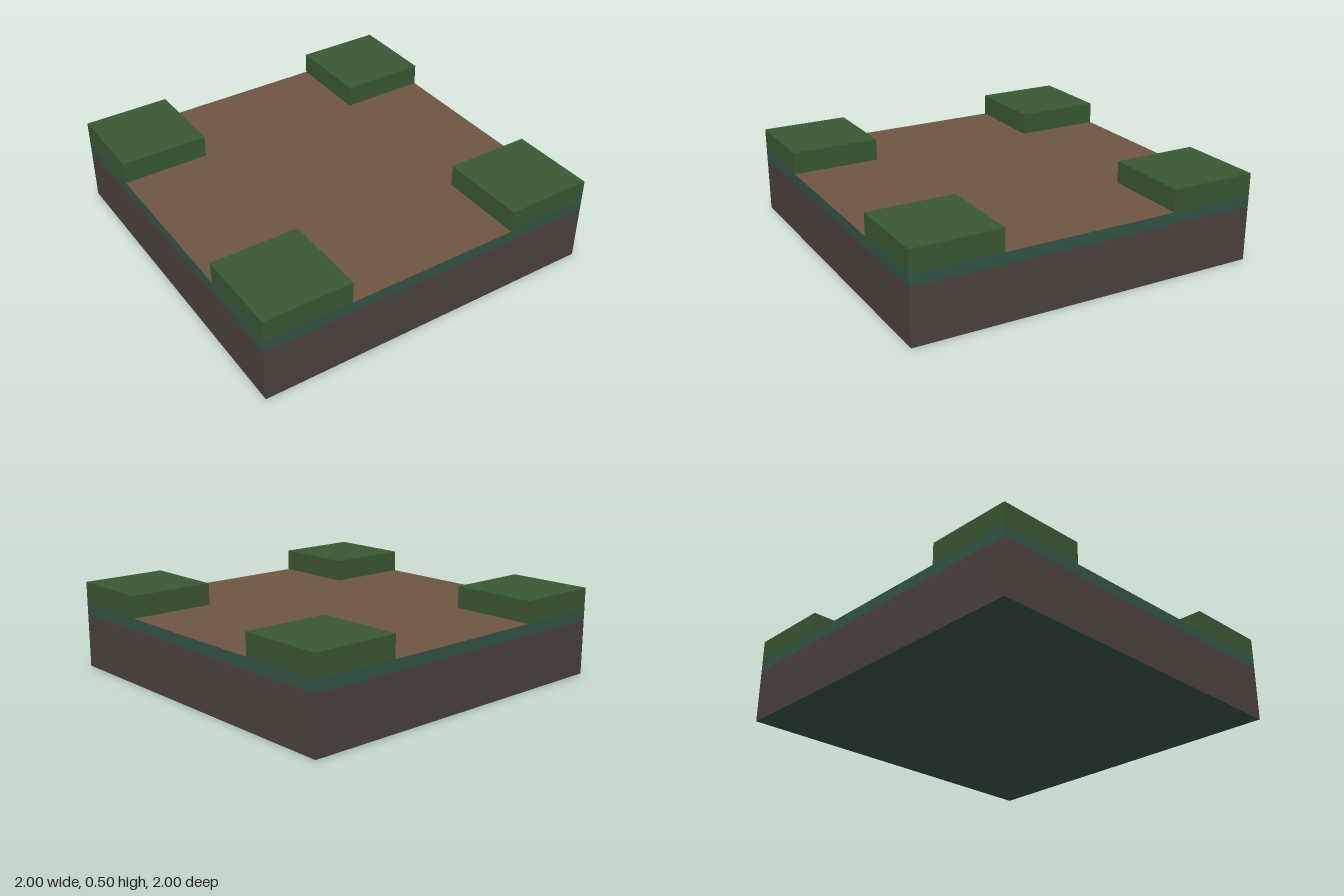
import * as THREE from 'three';

const mat = (name, color) => {
  const m = new THREE.MeshStandardMaterial({ color });
  m.name = name;
  return m;
};

export function createModel() {
  const soil = mat('dark soil', 0x4b413b);
  const turf = mat('teal turf', 0x335446);
  const dirt = mat('brown dirt', 0x6e5541);
  const grass = mat('green grass', 0x3a5733);

  const group = new THREE.Group();
  group.name = 'crossroadsTile';

  // Box spanning y0..y1; materials may be one or six (+x, -x, top, bottom, +z, -z)
  const slab = (name, size, y0, y1, material, x = 0, z = 0) => {
    const mesh = new THREE.Mesh(new THREE.BoxGeometry(size, y1 - y0, size), material);
    mesh.position.set(x, (y0 + y1) / 2, z);
    mesh.name = name;
    group.add(mesh);
  };

  // Soil base with a teal underside
  slab('soilBase', 2, 0, 0.3125, [soil, soil, soil, turf, soil, soil]);

  // Turf band whose top is the dirt crossroads
  slab('pathLayer', 2, 0.3125, 0.375, [turf, turf, dirt, turf, turf, turf]);

  // Raised grass block on each corner
  for (const x of [-0.75, 0.75]) {
    for (const z of [-0.75, 0.75]) {
      const side = (z > 0 ? 'front' : 'back') + (x > 0 ? 'Left' : 'Right');
      slab(side + 'GrassBlock', 0.5, 0.375, 0.5, grass, x, z);
    }
  }

  return group;
}
